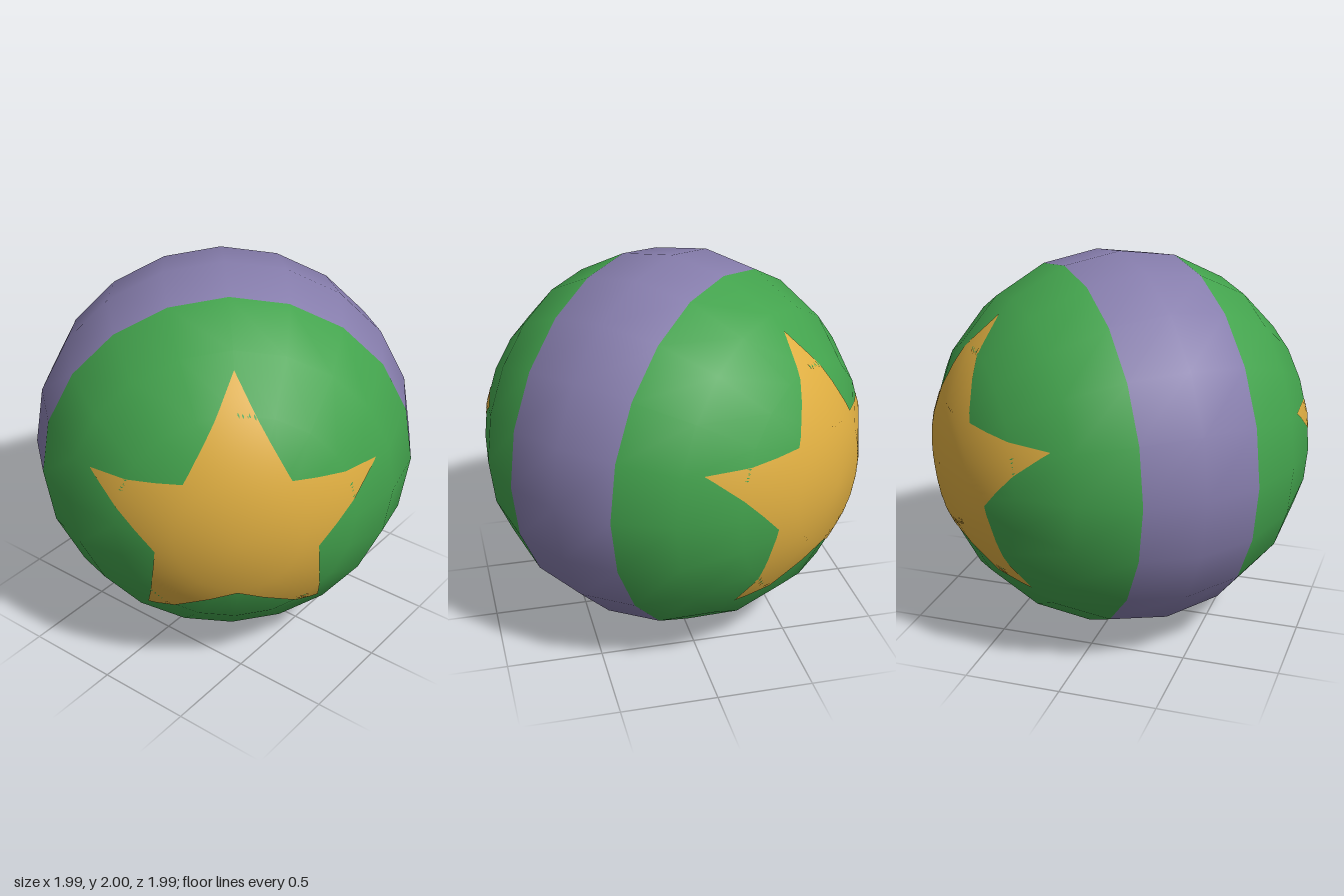
import * as THREE from 'three';

const STEP = Math.PI / 10; // 20 segments around, 10 rings pole to pole

const material = (name, color) => Object.assign(new THREE.MeshStandardMaterial({ color }), { name });

// Height of the faceted ball above the plane through its centre, pole along +z
function facetHeight(x, y) {
  const middle = (Math.floor(Math.atan2(y, x) / STEP) + 0.5) * STEP;
  const d = (x * Math.cos(middle) + y * Math.sin(middle)) / Math.cos(STEP / 2);
  const ring = Math.min(4, Math.floor(Math.asin(Math.min(1, d)) / STEP));
  const r0 = Math.sin(ring * STEP), r1 = Math.sin((ring + 1) * STEP);
  const t = (d - r0) / (r1 - r0);
  return THREE.MathUtils.lerp(Math.cos(ring * STEP), Math.cos((ring + 1) * STEP), t);
}

// Thin star skin that follows the facets around the +z pole
function starGeometry() {
  const half = [[0, 0.74], [0.255, 0.285], [0.69, 0.245], [0.395, -0.1], [0.435, -0.565], [0, -0.34]];
  const corners = [...half.map(([x, y]) => [-x, y]), ...half.slice(1, -1).reverse()];
  const perEdge = 10, rows = 24, lift = 1.004;
  const positions = [], normals = [], index = [];
  const rays = corners.length * perEdge;
  for (let i = 0; i < rays; i++) {
    const a = corners[Math.floor(i / perEdge)];
    const b = corners[(Math.floor(i / perEdge) + 1) % corners.length];
    const t = (i % perEdge) / perEdge;
    for (let k = 0; k <= rows; k++) {
      const s = k / rows;
      const x = s * THREE.MathUtils.lerp(a[0], b[0], t);
      const y = s * THREE.MathUtils.lerp(a[1], b[1], t);
      const p = new THREE.Vector3(x, y, facetHeight(x, y));
      normals.push(...p.clone().normalize().toArray());
      positions.push(...p.multiplyScalar(lift).toArray());
      if (k === rows) continue;
      const p0 = i * (rows + 1) + k, p1 = ((i + 1) % rays) * (rows + 1) + k;
      index.push(p0, p0 + 1, p1 + 1);
      if (k > 0) index.push(p0, p1 + 1, p1);
    }
  }
  const geometry = new THREE.BufferGeometry();
  geometry.setAttribute('position', new THREE.Float32BufferAttribute(positions, 3));
  geometry.setAttribute('normal', new THREE.Float32BufferAttribute(normals, 3));
  geometry.setIndex(index);
  return geometry;
}

export function createModel() {
  const green = material('green', 0x43a34d);
  const purple = material('purple', 0x867dac);
  const yellow = material('yellow', 0xdfae41);

  const ball = new THREE.Group();
  ball.name = 'ball';
  const add = (name, geometry, mat) => {
    const mesh = new THREE.Mesh(geometry, mat);
    mesh.name = name;
    ball.add(mesh);
    return mesh;
  };

  // Slice of the ball between two rings, poles along z
  const slice = (from, rings) =>
    new THREE.SphereGeometry(1, 20, rings, 0, Math.PI * 2, from * STEP, rings * STEP).rotateX(Math.PI / 2);

  add('frontCap', slice(0, 4), green);
  add('stripe', slice(4, 2), purple);
  add('backCap', slice(6, 4), green);

  // One star on each cap
  const star = starGeometry();
  add('frontStar', star, yellow);
  add('backStar', star, yellow).rotation.y = Math.PI;

  ball.rotation.y = THREE.MathUtils.degToRad(-48.2);
  ball.position.y = 1;

  const model = new THREE.Group();
  model.name = 'starBall';
  model.add(ball);
  return model;
}
